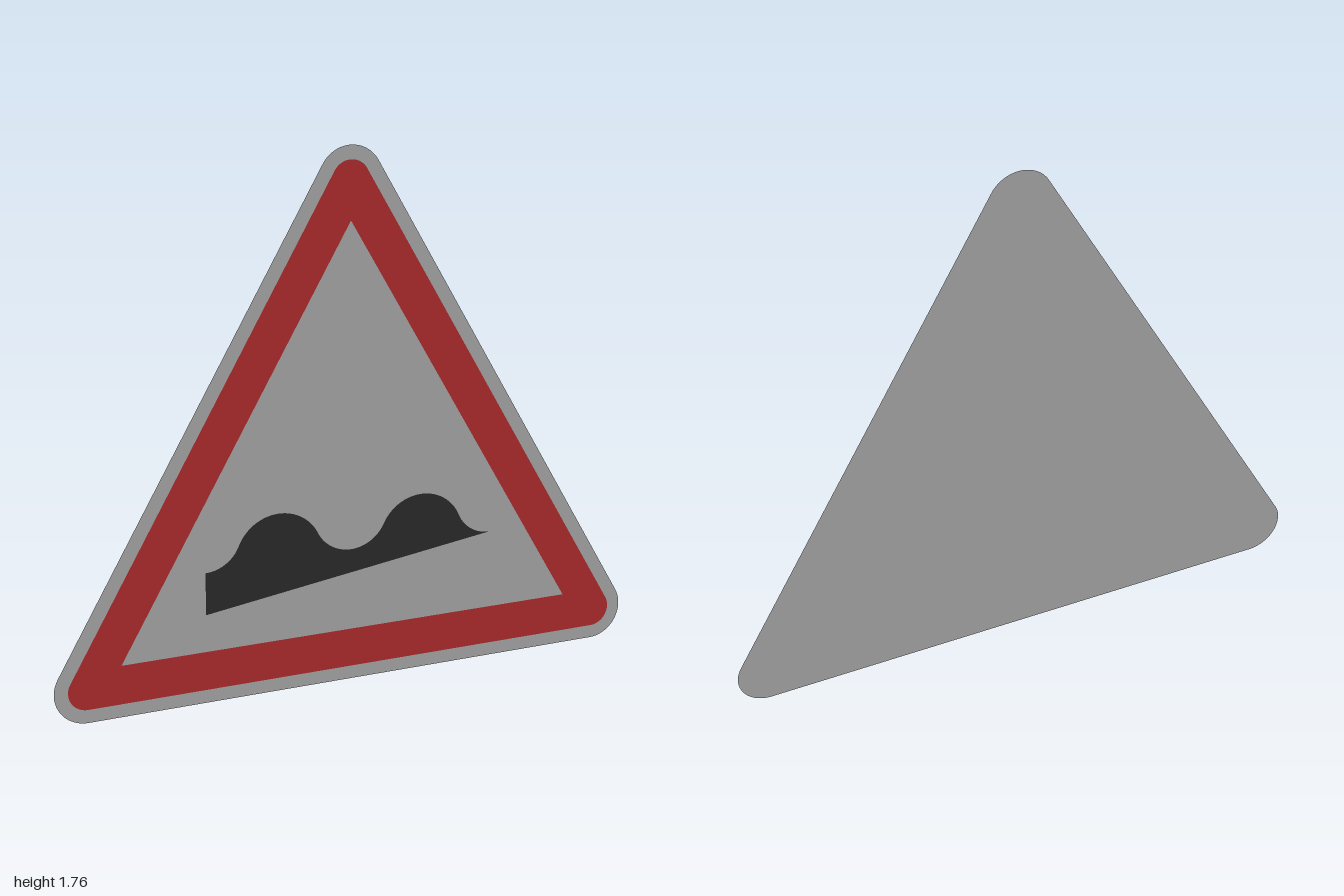
import * as THREE from 'three';

const material = (color) => new THREE.MeshStandardMaterial({ color, side: THREE.DoubleSide });

// Equilateral triangle with rounded corners of radius r about fixed corner centres
function roundedTriangle(r) {
  const shape = new THREE.Shape();
  const half = 0.892, base = 0.108;
  const corners = [[half, base], [0, base + half * Math.sqrt(3)], [-half, base]];
  corners.forEach(([x, y], i) => {
    const start = -Math.PI / 2 + i * Math.PI * 2 / 3;
    shape.absarc(x, y, r, start, start + Math.PI * 2 / 3, false);
  });
  shape.closePath();
  return shape;
}

// Two humps joined by tangent hollows, above a flat base
function bumpShape() {
  const shape = new THREE.Shape();
  const side = 0.497, hump = 0.248, r = 0.148, cy = 0.457;
  const outer = Math.atan2(0.107, 0.249), inner = Math.atan2(0.121, 0.248);
  const P = Math.PI;
  shape.moveTo(side, 0.3);
  shape.absarc(side, 0.564, 0.123, -P / 2, -P + outer, true);
  shape.absarc(hump, cy, r, outer, P - inner, false);
  shape.absarc(0, 0.578, 0.128, -inner, -P + inner, true);
  shape.absarc(-hump, cy, r, inner, P - outer, false);
  shape.absarc(-side, 0.564, 0.123, -outer, -P / 2, true);
  shape.lineTo(-side, 0.3);
  shape.closePath();
  return shape;
}

export function createModel() {
  const group = new THREE.Group();
  group.name = 'warningSign';

  const add = (name, shape, color, z) => {
    const mesh = new THREE.Mesh(new THREE.ShapeGeometry(shape, 24), material(color));
    mesh.name = name;
    mesh.position.z = z;
    group.add(mesh);
  };

  // Grey backing plate
  add('plate', roundedTriangle(0.108), 0xcccccc, 0);

  // Red border with a sharp triangular opening
  const border = roundedTriangle(0.063);
  border.holes.push(new THREE.Path([
    new THREE.Vector2(-0.78, 0.175),
    new THREE.Vector2(0, 1.526),
    new THREE.Vector2(0.78, 0.175),
  ]));
  add('border', border, 0xd43537, 0.002);

  // Uneven road symbol
  add('bumpSymbol', bumpShape(), 0x353535, 0.002);

  return group;
}
